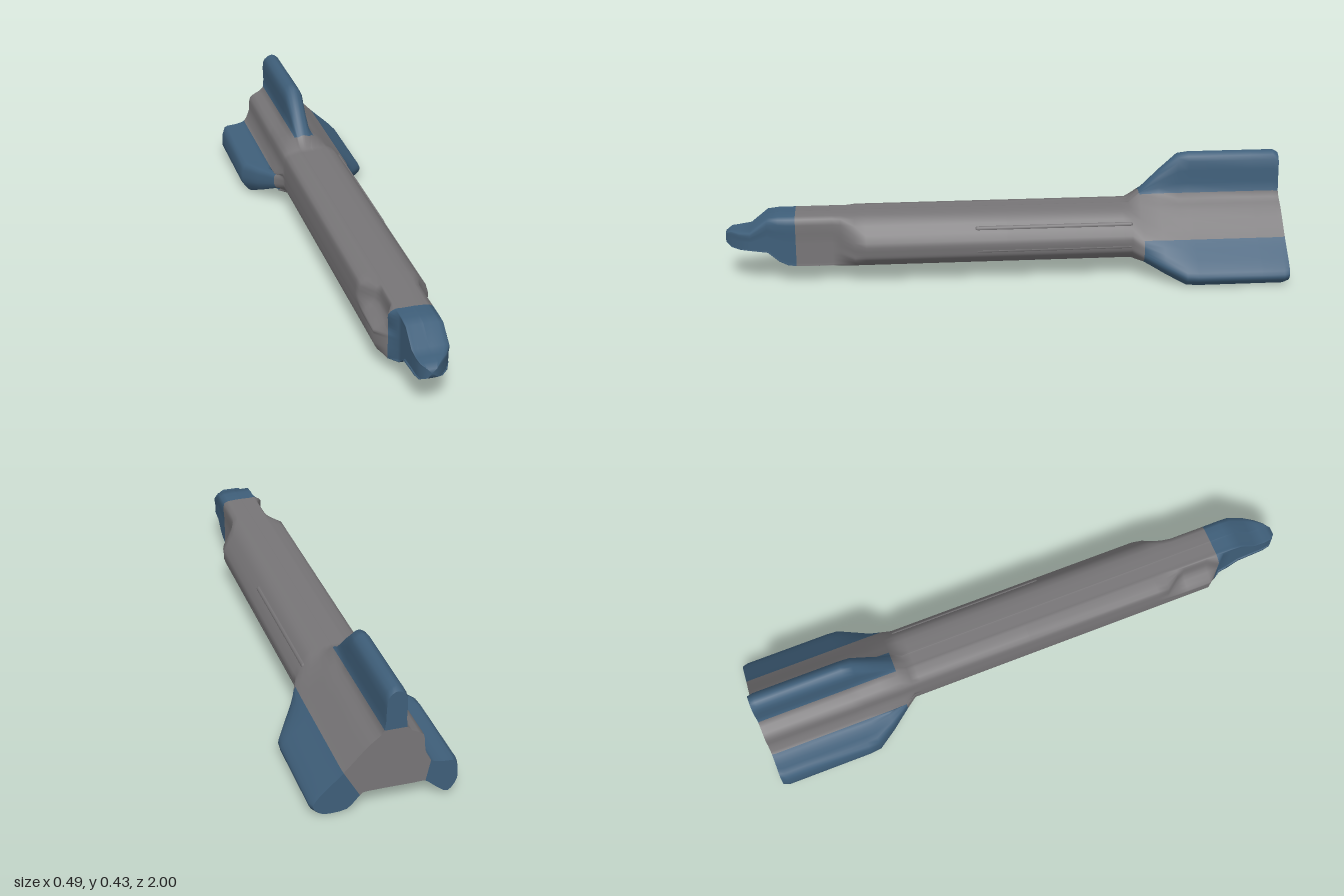
import * as THREE from 'three';

const grey = new THREE.MeshStandardMaterial({ color: 0x777577 });
grey.name = 'hull grey';
const blue = new THREE.MeshStandardMaterial({ color: 0x3f5f7a });
blue.name = 'fin blue';

// Tail outline with its three uneven fins, counter-clockwise from the front
const TAIL = [
  [0.01, 0.285], [0.003, 0.4], [-0.03, 0.43], [-0.063, 0.4], [-0.065, 0.285],
  [-0.12, 0.245], [-0.128, 0.185],
  [-0.15, 0.14], [-0.19, 0.128], [-0.24, 0.12], [-0.248, 0.05], [-0.215, 0.005], [-0.17, 0.035], [-0.135, 0.065],
  [-0.09, 0.066], [0.06, 0.066],
  [0.085, 0.055], [0.13, 0.008], [0.21, 0.003], [0.245, 0.035], [0.225, 0.07], [0.14, 0.15],
  [0.06, 0.235],
];
// Body outline with matching points
const BODY = [
  [0, 0.25], [-0.01, 0.25], [-0.03, 0.25], [-0.05, 0.25], [-0.065, 0.25],
  [-0.115, 0.235], [-0.123, 0.19],
  [-0.125, 0.16], [-0.125, 0.145], [-0.125, 0.13], [-0.124, 0.11], [-0.122, 0.1], [-0.115, 0.085], [-0.1, 0.068],
  [-0.08, 0.065], [0.05, 0.065],
  [0.07, 0.066], [0.085, 0.073], [0.105, 0.088], [0.12, 0.105], [0.125, 0.125], [0.125, 0.165],
  [0.07, 0.24],
];
const FINS = [[0, 4], [7, 13], [16, 21]]; // first and last root point of each fin
const SUB = 3; // smoothing steps between outline points
const N = BODY.length * SUB;
const inFin = (i) => FINS.some(([a, b]) => i >= a && i < b);
const isTip = (i) => FINS.some(([a, b]) => i > a && i < b);
const clamp = THREE.MathUtils.clamp;

// Tail ring: roots and fin tips grow out of the body at their own rates
function tailRing(z, root, tip) {
  return { z, pts: BODY.map(([x, y], i) => {
    const f = isTip(i) ? tip : root;
    return [x + (TAIL[i][0] - x) * f, y + (TAIL[i][1] - y) * f];
  }) };
}

// Body ring cut to side limits and fitted between two heights
function bodyRing(z, left, right, bottom, top, dip = 0) {
  return { z, pts: BODY.map(([x, y], i) => [
    clamp(x + (i === 5 || i === 6 ? dip : 0), left, right),
    bottom + ((y - 0.065) / 0.185) * (top - bottom),
  ]) };
}

// Smooth closed outline through the points of a ring
function smooth({ z, pts }) {
  const curve = new THREE.CatmullRomCurve3(
    pts.map(([x, y]) => new THREE.Vector3(x, y, z)), true, 'catmullrom', 0.4);
  return Array.from({ length: N }, (_, i) => curve.getPoint(i / N));
}

const rings = [
  tailRing(-1, 0.95, 0.94), tailRing(-0.98, 1, 1), tailRing(-0.9, 1, 1), tailRing(-0.67, 1, 1),
  tailRing(-0.63, 1, 0.97), tailRing(-0.56, 1, 0.62), tailRing(-0.49, 0.95, 0.22),
  bodyRing(-0.45, -0.125, 0.125, 0.065, 0.25),
  bodyRing(-0.42, -0.125, 0.125, 0.065, 0.25),
  bodyRing(0, -0.125, 0.125, 0.065, 0.25),
  bodyRing(0.5, -0.125, 0.125, 0.065, 0.25),
  bodyRing(0.54, -0.125, 0.118, 0.065, 0.25),
  bodyRing(0.59, -0.125, 0.065, 0.065, 0.25, 0.035),
  bodyRing(0.62, -0.125, 0.06, 0.065, 0.25, 0.045),
  bodyRing(0.71, -0.125, 0.06, 0.065, 0.25, 0.045),
  bodyRing(0.75, -0.09, 0.06, 0.066, 0.25),
  bodyRing(0.78, -0.065, 0.06, 0.07, 0.25),
  bodyRing(0.81, -0.065, 0.06, 0.085, 0.25),
  bodyRing(0.85, -0.065, 0.06, 0.12, 0.245),
  bodyRing(0.91, -0.065, 0.058, 0.128, 0.196),
  bodyRing(0.95, -0.064, 0.035, 0.128, 0.19),
  bodyRing(0.98, -0.06, 0.01, 0.13, 0.187),
  bodyRing(1, -0.042, -0.012, 0.142, 0.175),
];

// Skin over all rings, coloured by fin and nose
function hullGeometry() {
  const loops = rings.map(smooth);
  const points = loops.flat();
  const greyFaces = [], blueFaces = [];
  for (let j = 0; j < rings.length - 1; j++) {
    for (let i = 0; i < N; i++) {
      const k = (i + 1) % N;
      const a = j * N + i, b = j * N + k, c = b + N, d = a + N;
      const isFin = rings[j + 1].z < -0.48 && inFin(Math.floor(i / SUB));
      const isNose = rings[j].z > 0.74;
      (isFin || isNose ? blueFaces : greyFaces).push(a, b, c, a, c, d);
    }
  }
  // Rounded nose end
  const last = (rings.length - 1) * N;
  points.push(new THREE.Vector3(-0.027, 0.158, 1));
  for (let i = 0; i < N; i++) blueFaces.push(last + i, last + (i + 1) % N, points.length - 1);

  const geo = new THREE.BufferGeometry().setFromPoints(points);
  geo.setIndex([...greyFaces, ...blueFaces]);
  geo.addGroup(0, greyFaces.length, 0);
  geo.addGroup(greyFaces.length, blueFaces.length, 1);
  geo.computeVertexNormals();
  return geo;
}

// Flat rear face over part of the tail outline
function rearPlate(name, points, material) {
  const faces = THREE.ShapeUtils.triangulateShape(points.map((p) => new THREE.Vector2(p.x, p.y)), []);
  const geo = new THREE.BufferGeometry().setFromPoints(points);
  geo.setIndex(faces.flatMap(([a, b, c]) => [a, c, b]));
  geo.computeVertexNormals();
  const mesh = new THREE.Mesh(geo, material);
  mesh.name = name;
  return mesh;
}

export function createModel() {
  const group = new THREE.Group();
  group.name = 'rocket';

  const hull = new THREE.Mesh(hullGeometry(), [grey, blue]);
  hull.name = 'hullWithFins';
  group.add(hull);

  // Rear faces
  const rear = smooth(rings[0]);
  ['topFinEnd', 'rightFinEnd', 'leftFinEnd'].forEach((name, n) => {
    const [a, b] = FINS[n];
    group.add(rearPlate(name, rear.slice(a * SUB, b * SUB + 1), blue));
  });
  group.add(rearPlate('tailEnd', rear.filter((_, i) =>
    !FINS.some(([a, b]) => i > a * SUB && i < b * SUB)), grey));

  // Long thin ridges on the left side
  for (const [x, y] of [[0.096, 0.2], [0.116, 0.125]]) {
    const ridge = new THREE.Mesh(new THREE.CapsuleGeometry(0.01, 0.55, 4, 10), grey);
    ridge.name = 'sideRidge';
    ridge.rotation.x = Math.PI / 2;
    ridge.position.set(x, y, -0.17);
    group.add(ridge);
  }
  return group;
}
